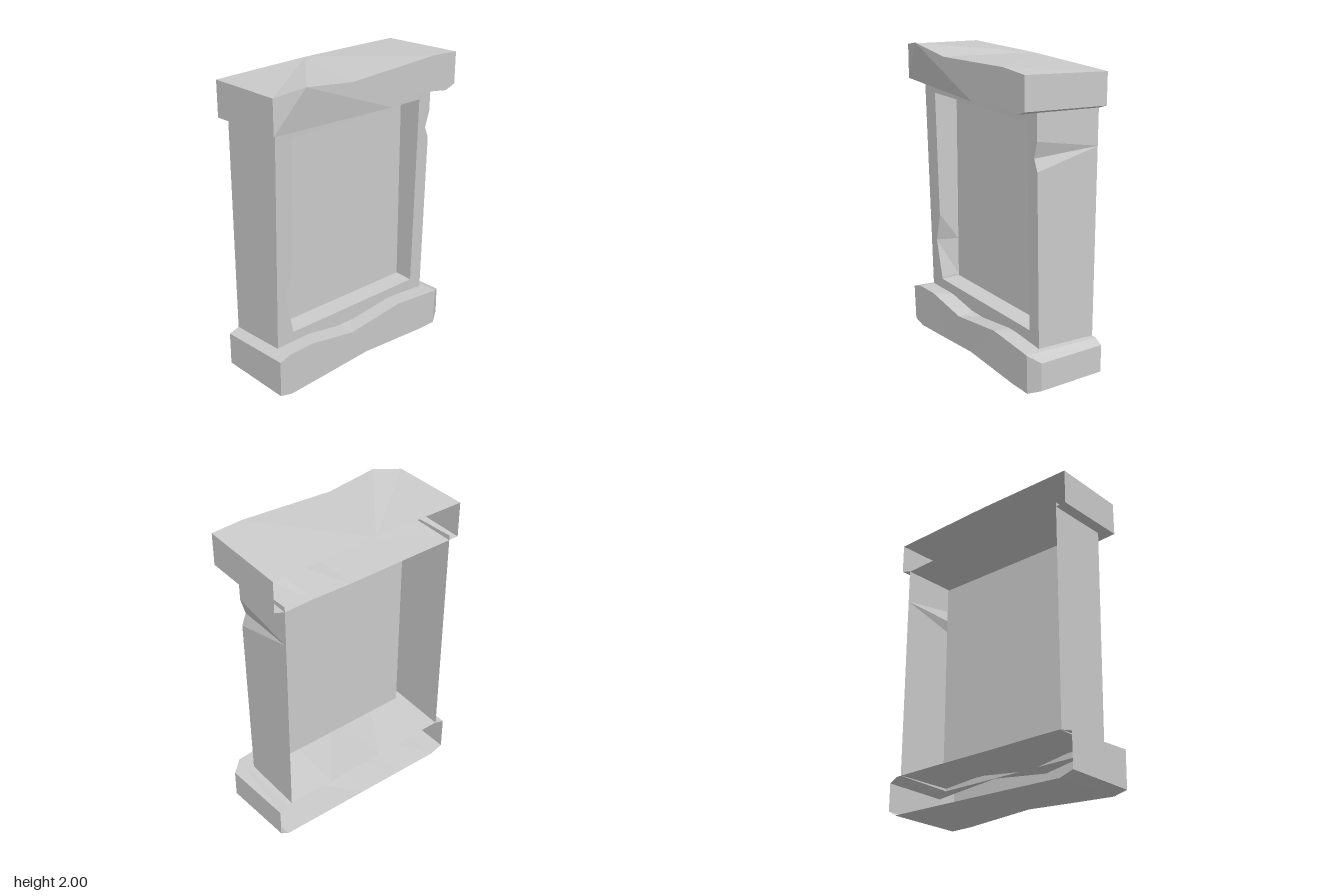
import * as THREE from 'three';

const material = new THREE.MeshStandardMaterial({ color: 0xcccccc, flatShading: true, side: THREE.DoubleSide });
const BACK = -0.29;
const PANEL_Z = -0.01;

// Joins two rows of points (upper row a, lower row b, left to right) with faces.
function strip(a, b) {
  const out = [];
  const tri = (p, q, r) => {
    const same = (u, v) => u.every((c, i) => c === v[i]);
    if (!same(p, q) && !same(q, r) && !same(p, r)) out.push(...p, ...q, ...r);
  };
  for (let i = 0; i < a.length - 1; i++) {
    tri(a[i], b[i], a[i + 1]);
    tri(a[i + 1], b[i], b[i + 1]);
  }
  return out;
}

function mesh(name, positions) {
  const g = new THREE.BufferGeometry();
  g.setAttribute('position', new THREE.Float32BufferAttribute(positions, 3));
  g.computeVertexNormals();
  const m = new THREE.Mesh(g, material);
  m.name = name;
  return m;
}

// Rough stone block with an open back, from top and bottom rows at front and back.
function block(name, top, bottom, backTop, backBottom, topZ, bottomZ) {
  const at = (row, z) => row.map(([x, y, own]) => [x, y, own ?? z]);
  const T = at(top, topZ), B = at(bottom, bottomZ);
  const KT = at(backTop, BACK), KB = at(backBottom, BACK);
  const n = T.length - 1;
  return mesh(name, [
    ...strip(T, B),
    ...strip(KT, T),
    ...strip(B, KB),
    ...strip([KT[0], T[0]], [KB[0], B[0]]),
    ...strip([T[n], KT[n]], [B[n], KB[n]]),
  ]);
}

// The body's front leans forward slightly towards the top.
const frontZ = (y) => 0.12 + (y - 0.29) * 0.024;
const onFront = ([x, y]) => [x, y, frontZ(y)];

export function createModel() {
  const group = new THREE.Group();

  // Lintel with an uneven top and a cut front corner
  group.add(block('lintel',
    [[-0.71, 1.965, 0.235], [-0.52, 2.0], [-0.18, 1.957], [0.46, 1.985], [0.665, 1.972]],
    [[-0.71, 1.743, 0.235], [0.13, 1.735], [0.4, 1.77], [0.59, 1.74], [0.665, 1.767]],
    [[-0.71, 1.945], [-0.05, 1.95], [-0.05, 1.95], [-0.05, 1.95], [0.665, 1.936]],
    [[-0.71, 1.715], [0.13, 1.712], [0.4, 1.718], [0.59, 1.712], [0.665, 1.737]],
    0.29, 0.288));

  // Base block with worn edges and a cut right corner
  group.add(block('base',
    [[-0.71, 0.287], [-0.63, 0.314], [-0.45, 0.318], [-0.13, 0.265], [0.28, 0.318], [0.63, 0.288], [0.705, 0.252, 0.18]],
    [[-0.71, 0.042], [-0.62, 0.02], [-0.3, 0.041], [0, 0.062], [0.48, 0.035], [0.63, 0.035], [0.705, 0.07, 0.18]],
    [[-0.71, 0.25], [-0.63, 0.275], [-0.45, 0.275], [-0.13, 0.272], [0.28, 0.272], [0.63, 0.27], [0.685, 0.24]],
    [[-0.71, 0.03], [-0.62, 0], [-0.3, 0.007], [0, 0.013], [0.48, 0.022], [0.63, 0.025], [0.685, 0.06]],
    0.235, 0.228));

  // Outer and inner edges of the body, each with one chipped side
  const L = -0.64, R = 0.595, low = 0.27, high = 1.745;
  const rightEdge = [[R, low], [R, 1.39], [0.565, 1.465], [R, 1.57], [R, high]];
  const l = -0.52, r = 0.5, sill = 0.375, head = 1.667, headBack = 1.65;
  const recessEdge = [[l, sill], [l, 0.385], [-0.573, 0.645], [l, 0.84], [l, head]];

  // Front frame
  const vec = ([x, y]) => new THREE.Vector2(x, y);
  const shape = new THREE.Shape([[L, low], ...rightEdge, [L, high]].map(vec));
  shape.holes.push(new THREE.Path([...recessEdge, [r, head], [r, sill]].map(vec)));
  const face = new THREE.ShapeGeometry(shape);
  const p = face.attributes.position;
  for (let i = 0; i < p.count; i++) p.setZ(i, frontZ(p.getY(i)));
  face.computeVertexNormals();
  const frame = new THREE.Mesh(face, material);
  frame.name = 'frontFrame';
  group.add(frame);

  // Outer side walls
  const rightBack = [low, 1.485, 1.485, 1.485, high].map((y) => [R, y, BACK]);
  group.add(mesh('rightOuterWall', strip(rightEdge.map(onFront), rightBack)));
  group.add(mesh('leftOuterWall', strip(
    [[L, low, BACK], [L, high, BACK]],
    [[L, low], [L, high]].map(onFront))));

  // Recess walls and sunken panel
  const recessBack = [sill, 0.385, 0.645, 0.84, headBack].map((y) => [l, y, PANEL_Z]);
  const backAt = (x, y) => [x, y, PANEL_Z];
  const headRow = [backAt(l, headBack), backAt(r, headBack)];
  const sillRow = [backAt(l, sill), backAt(r, sill)];
  group.add(mesh('recessWalls', [
    ...strip(recessEdge.map(onFront), recessBack),
    ...strip([sillRow[1], headRow[1]], [[r, sill], [r, head]].map(onFront)),
    ...strip([[l, head], [r, head]].map(onFront), headRow),
    ...strip(sillRow, [[l, sill], [r, sill]].map(onFront)),
  ]));
  group.add(mesh('panel', strip(headRow, sillRow)));

  return group;
}
